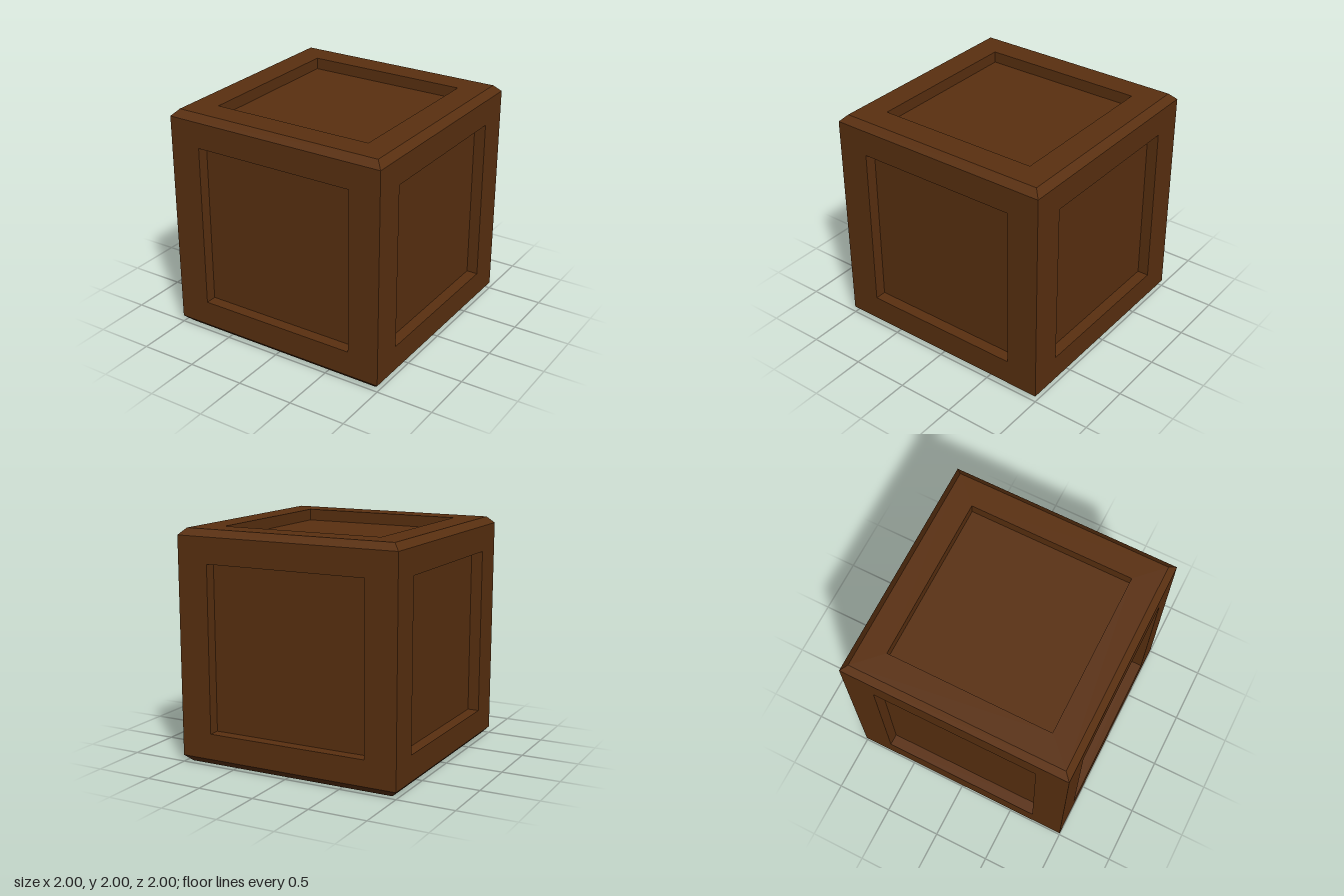
import * as THREE from 'three';

const CHAMFER = 0.057; // bevel on top and bottom edges
const OPENING = 0.72;  // half size of each recess
const DEPTH = 0.1;     // recess depth

// four corners of a rectangle, counter-clockwise seen from +z
const ring = (w, h, z) => [[-w, -h, z], [w, -h, z], [w, h, z], [-w, h, z]];

// quads joining two rings
const band = (outer, inner) => outer.map((a, i) => {
  const j = (i + 1) % 4;
  return [a, outer[j], inner[j], inner[i]];
});

// flat-shaded geometry from a list of quads
function quadGeometry(quads) {
  const points = quads.flatMap(([a, b, c, d]) => [a, b, c, a, c, d]);
  const geometry = new THREE.BufferGeometry();
  geometry.setAttribute('position', new THREE.Float32BufferAttribute(points.flat(), 3));
  geometry.computeVertexNormals();
  return geometry;
}

export function createModel() {
  const crate = new THREE.Group();
  crate.name = 'crate';
  const wood = new THREE.MeshStandardMaterial({ color: 0x5a3010 });
  wood.name = 'dark brown wood';

  const add = (parent, name, geometry) => {
    const mesh = new THREE.Mesh(geometry, wood);
    mesh.name = name;
    parent.add(mesh);
    return mesh;
  };

  // one crate face: border frame, recess walls and sunken panel
  const addFace = (name, halfWidth, halfHeight, rx, ry) => {
    const face = new THREE.Group();
    face.name = name;
    const rim = ring(OPENING, OPENING, 1);
    const floor = ring(OPENING, OPENING, 1 - DEPTH);
    add(face, 'frame', quadGeometry(band(ring(halfWidth, halfHeight, 1), rim)));
    add(face, 'recessWalls', quadGeometry(band(rim, floor)));
    add(face, 'sunkenPanel', quadGeometry([floor]));
    face.rotation.set(rx, ry, 0);
    face.position.y = 1;
    crate.add(face);
  };

  const inner = 1 - CHAMFER;
  ['frontFace', 'leftFace', 'backFace', 'rightFace'].forEach((name, i) =>
    addFace(name, 1, inner, 0, i * Math.PI / 2));
  addFace('topFace', inner, inner, -Math.PI / 2, 0);
  addFace('bottomFace', inner, inner, Math.PI / 2, 0);

  // sloped bevels around the top and bottom
  const bevel = (name, topHalf, bottomHalf, y) => {
    const geometry = new THREE.CylinderGeometry(
      topHalf * Math.SQRT2, bottomHalf * Math.SQRT2, CHAMFER, 4, 1, true, Math.PI / 4).toNonIndexed();
    geometry.computeVertexNormals();
    add(crate, name, geometry).position.y = y;
  };
  bevel('topBevel', inner, 1, 2 - CHAMFER / 2);
  bevel('bottomBevel', 1, inner, CHAMFER / 2);

  return crate;
}
